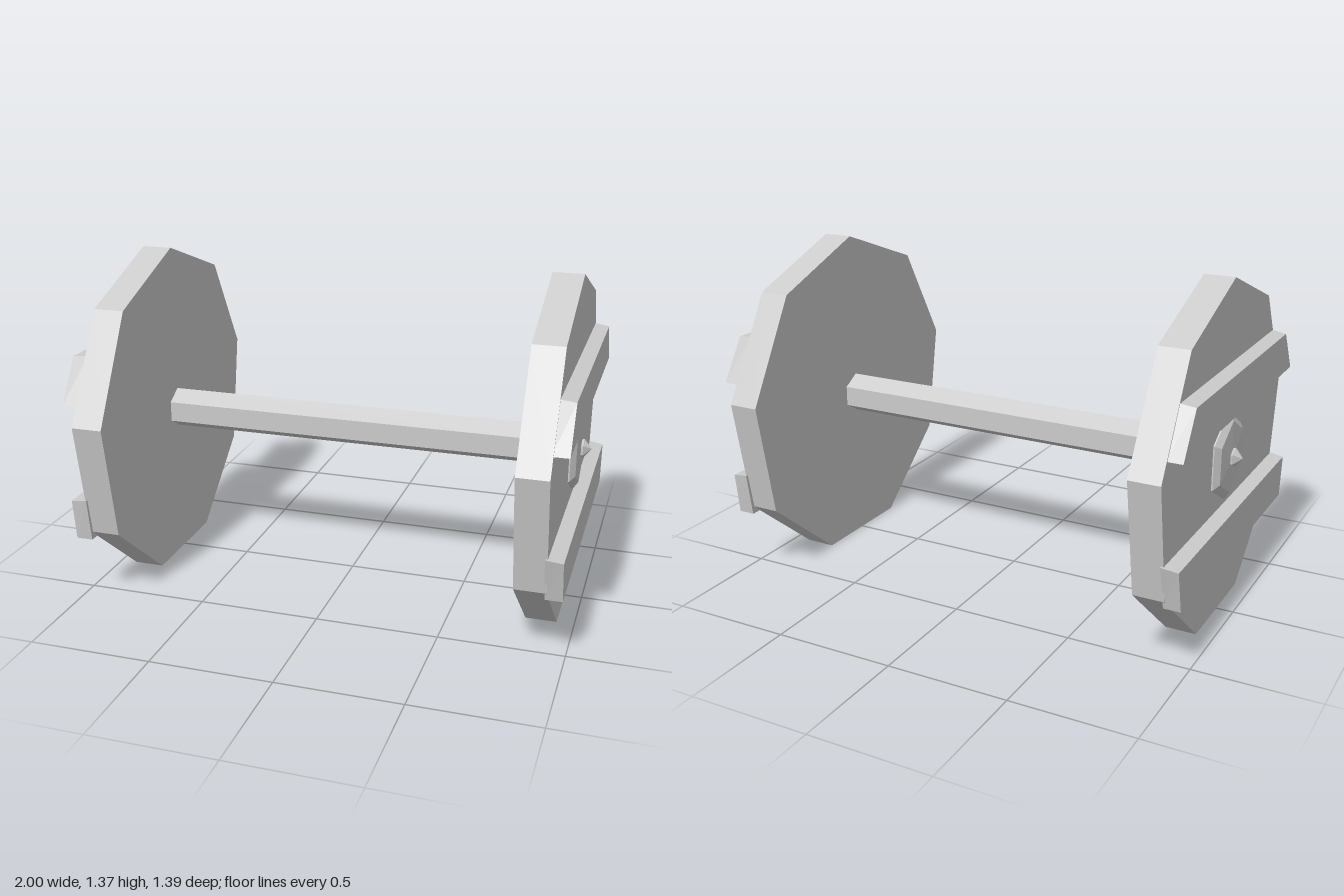
import * as THREE from 'three';

const CY = 0.664; // axle height
const material = new THREE.MeshStandardMaterial({ color: 0xcccccc, flatShading: true });

function add(parent, geometry, name) {
  const mesh = new THREE.Mesh(geometry, material);
  mesh.name = name;
  parent.add(mesh);
  return mesh;
}

// Turn a y-axis solid so it runs along +x with its first corner pointing up
function alongX(geometry, x) {
  return geometry.rotateX(-Math.PI / 2).rotateY(-Math.PI / 2).translate(x, CY, 0);
}

// Plank with slanted ends: [front, back] z limits at its top and its bottom,
// its top edge falling slightly towards the outer face
function plankGeometry(yLow, yHigh, zLow, zHigh) {
  const geometry = new THREE.BoxGeometry(1, 1, 1);
  const p = geometry.attributes.position;
  for (let i = 0; i < p.count; i++) {
    const outer = p.getX(i) > 0, top = p.getY(i) > 0;
    const z = (top ? zHigh : zLow)[p.getZ(i) > 0 ? 0 : 1];
    p.setXYZ(i, outer ? 0.988 : 0.92, top ? yHigh - (outer ? 0.01 : 0) : yLow,
      z - (outer && top ? 0.006 * Math.sign(z) : 0));
  }
  geometry.computeVertexNormals();
  return geometry;
}

function createWheel(name) {
  const wheel = new THREE.Group();
  wheel.name = name;

  // Nine-sided disc
  add(wheel, alongX(new THREE.CylinderGeometry(0.706, 0.706, 0.125, 9), 0.867), 'wheelDisc');

  // Cross planks on the outer face
  add(wheel, plankGeometry(0.86, 1.04, [0.648, -0.65], [0.546, -0.548]), 'upperPlank');
  add(wheel, plankGeometry(0.28, 0.462, [0.6, -0.622], [0.648, -0.648]), 'lowerPlank');

  // Six-sided hub cap with a pointed stud
  const profile = [[0.18, 0.92], [0.18, 0.935], [0.148, 0.955], [0.036, 0.96], [0.04, 0.968], [0, 1]]
    .map(([r, x]) => new THREE.Vector2(r, x));
  add(wheel, alongX(new THREE.LatheGeometry(profile, 6), 0), 'hubCap');
  return wheel;
}

export function createModel() {
  const model = new THREE.Group();
  model.name = 'wheelAxle';

  // Six-sided axle
  add(model, alongX(new THREE.CylinderGeometry(0.085, 0.085, 1.64, 6), 0), 'axle');

  // Matching wheels, the second turned half way round
  model.add(createWheel('leftWheel'));
  const right = createWheel('rightWheel');
  right.rotation.y = Math.PI;
  model.add(right);
  return model;
}
